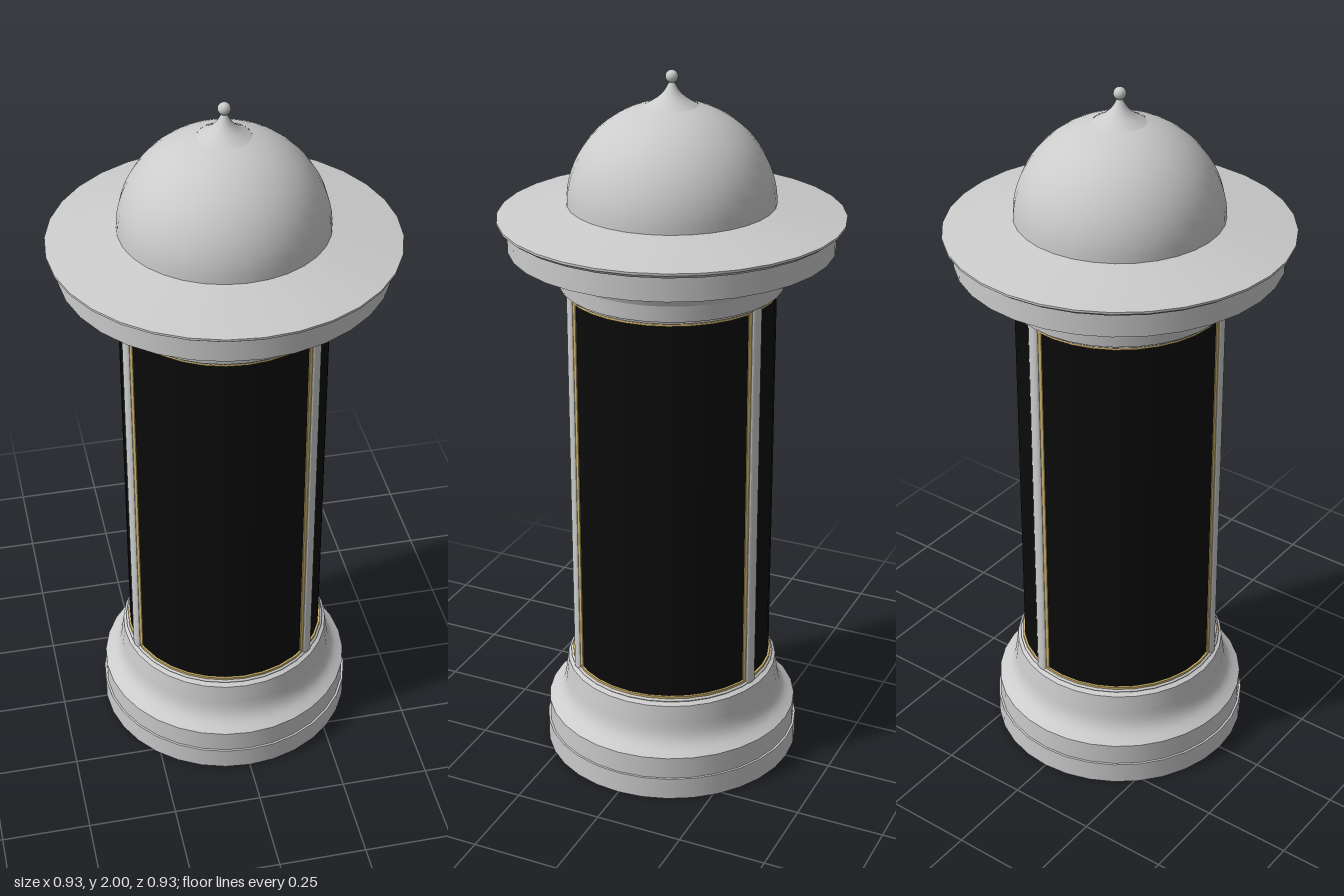
import * as THREE from 'three';
import { mergeGeometries } from 'three/addons/utils/BufferGeometryUtils.js';

const SIDES = 32;
const grey = new THREE.MeshStandardMaterial({ color: 0xcccccc });
const gold = new THREE.MeshStandardMaterial({ color: 0xcdb26a });
const black = new THREE.MeshStandardMaterial({ color: 0x0a0a0a });

// Turned part: each run of [radius, height] points is smooth, with a sharp edge between runs
function turned(name, runs, material = grey) {
  const parts = runs.map(run =>
    new THREE.LatheGeometry(run.map(([r, y]) => new THREE.Vector2(r, y)), SIDES));
  const mesh = new THREE.Mesh(mergeGeometries(parts), material);
  mesh.name = name;
  return mesh;
}

// Straight-sided profile: every pair of neighbours becomes its own run
const straight = pts => pts.slice(1).map((p, i) => [pts[i], p]);

// Smooth run through a few control points
const curved = (pts, n = 8) => new THREE.SplineCurve(pts.map(p => new THREE.Vector2(...p)))
  .getPoints(n).map(p => [p.x, p.y]);

// Upright bar with a rounded outer face, its back at radius `back`
function bar(name, width, back, front, y0, y1, material) {
  const shape = new THREE.Shape();
  const w = width / 2, edge = back + (front - back) * 0.7;
  shape.moveTo(-w, -back);
  shape.lineTo(w, -back);
  shape.lineTo(w, -edge);
  shape.quadraticCurveTo(w * 0.8, -front, 0, -front);
  shape.quadraticCurveTo(-w * 0.8, -front, -w, -edge);
  const geometry = new THREE.ExtrudeGeometry(shape, { depth: y1 - y0, bevelEnabled: false, curveSegments: 4 });
  geometry.rotateX(-Math.PI / 2);
  geometry.translate(0, y0, 0);
  const mesh = new THREE.Mesh(geometry, material);
  mesh.name = name;
  return mesh;
}

export function createModel() {
  const model = new THREE.Group();
  model.name = 'advertisingColumn';

  // Stepped plinth with a hollow moulding
  model.add(turned('base', [
    ...straight([[0, 0], [0.368, 0], [0.368, 0.065], [0.362, 0.065], [0.362, 0.13]]),
    curved([[0.362, 0.13], [0.332, 0.152], [0.316, 0.182], [0.31, 0.22]]),
    ...straight([[0.31, 0.22], [0.304, 0.265], [0.28, 0.275]]),
  ]));

  // Poster drum
  model.add(turned('posterDrum', [[[0.284, 0.265], [0.284, 1.425]]], black));

  // Trim rings closing the posters at bottom and top
  for (const [name, y0, y1] of [['lowerTrim', 0.265, 0.288], ['upperTrim', 1.403, 1.424]]) {
    const m = (y0 + y1) / 2;
    model.add(turned(name + 'Edge', straight([[0.28, y0], [0.29, y0], [0.29, y1], [0.28, y1]]), gold));
    model.add(turned(name, [curved([[0.285, y0 + 0.004], [0.296, m], [0.285, y1 - 0.004]], 6)]));
  }

  // Three upright strips dividing the posters
  for (let i = 0; i < 3; i++) {
    const strip = new THREE.Group();
    strip.name = 'dividerStrip' + (i + 1);
    strip.add(bar('stripEdge', 0.054, 0.27, 0.29, 0.275, 1.415, gold));
    strip.add(bar('stripFace', 0.038, 0.27, 0.297, 0.275, 1.415, grey));
    strip.rotation.y = Math.PI / 4 + i * Math.PI * 2 / 3;
    model.add(strip);
  }

  // Cornice: neck, flared cove and fascia
  model.add(turned('cornice', [
    ...straight([[0.28, 1.42], [0.304, 1.42], [0.308, 1.465]]),
    curved([[0.308, 1.465], [0.322, 1.495], [0.345, 1.514], [0.378, 1.524]]),
    ...straight([[0.378, 1.524], [0.44, 1.527], [0.44, 1.594]]),
  ]));

  // Wide sloping roof brim
  model.add(turned('roofBrim', straight([
    [0.43, 1.594], [0.452, 1.594], [0.467, 1.605], [0.467, 1.611], [0.27, 1.648],
  ])));

  // Dome, sweeping up into a point
  const dome = [];
  for (let i = 0; i <= 16; i++) {
    const a = (i / 16) * Math.acos(0.07 / 0.28);
    dome.push([0.28 * Math.cos(a), 1.645 + 0.271 * Math.sin(a)]);
  }
  model.add(turned('dome', [
    dome,
    curved([[0.07, 1.907], [0.042, 1.924], [0.02, 1.945], [0.004, 1.975]]),
  ]));

  // Ball finial
  const ball = new THREE.Mesh(new THREE.SphereGeometry(0.017, 16, 12), grey);
  ball.name = 'finialBall';
  ball.position.y = 1.983;
  model.add(ball);

  return model;
}
